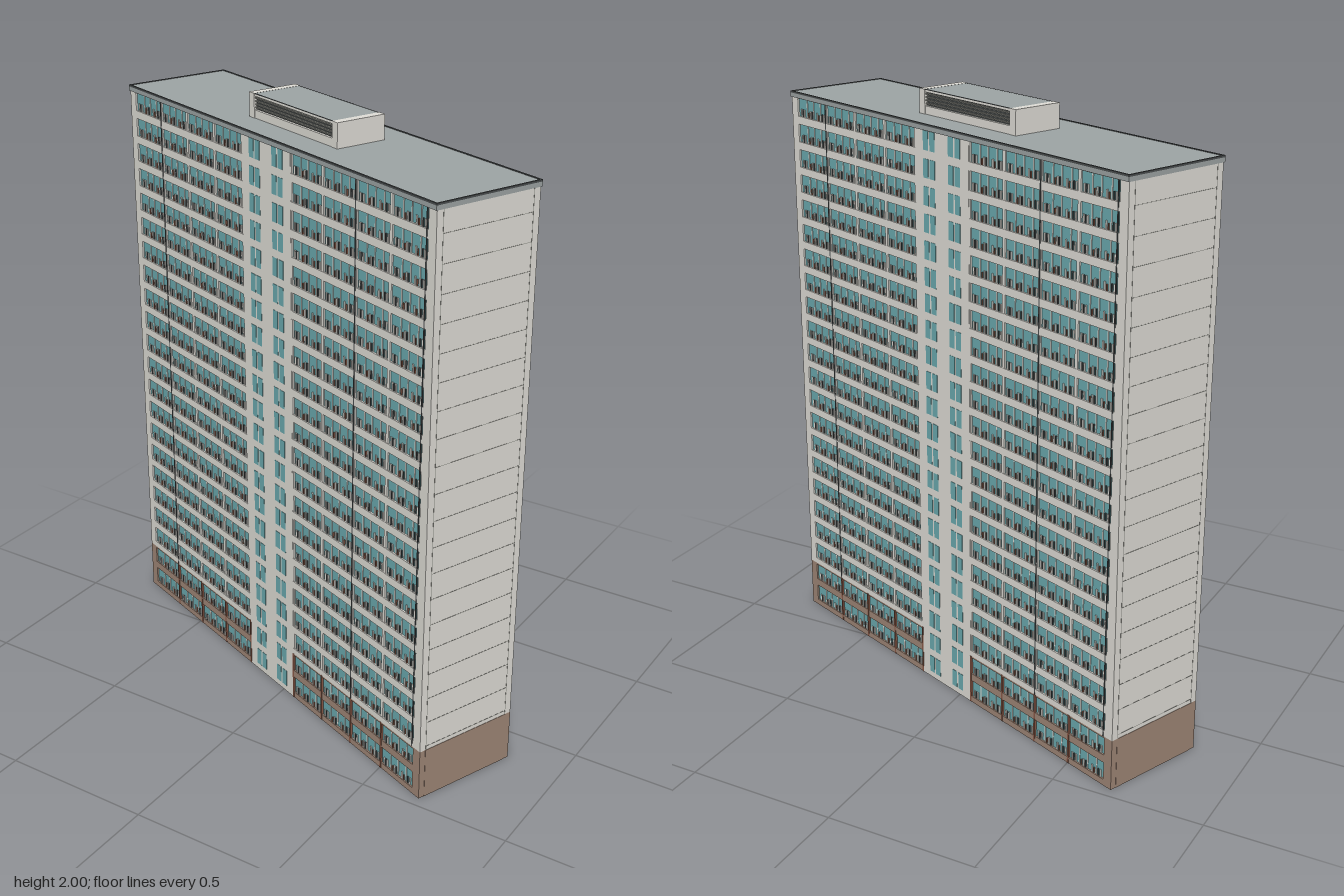
import * as THREE from 'three';
import { mergeGeometries } from 'three/addons/utils/BufferGeometryUtils.js';

const paint = (name, color) => {
  const m = new THREE.MeshStandardMaterial({ color });
  m.name = name;
  return m;
};

export function createModel() {
  const cream = paint('cream concrete', 0xe1dfd8);
  const brown = paint('brown cladding', 0xa08777);
  const rust = paint('rust posts', 0x8a5a48);
  const teal = paint('teal glass', 0x6cabb0);
  const dark = paint('dark metal', 0x4c5051);
  const grey = paint('roof grey', 0x9ea5a5);
  const seam = paint('seam grey', 0x8c8d86);

  const HL = 0.806, HD = 0.184;        // half length and half depth
  const FLOORS = 22, TOP = 1.908, H = TOP / FLOORS;
  const SILL = 0.021, HEAD = 0.081;    // window opening within a floor
  const BASE = 2 * H;                  // top of the brown plinth
  const BACK = 0.178;                  // plane of the recessed glazing
  const WING = [0.13, 0.772], BAYS = 4, BAY = (WING[1] - WING[0]) / BAYS;

  const tower = new THREE.Group();
  tower.name = 'towerBlock';

  // Collects boxes of one part and merges them into one mesh
  function part(name, material, parent, fill) {
    const list = [];
    fill((x0, x1, y0, y1, z0, z1) => {
      const g = new THREE.BoxGeometry(x1 - x0, y1 - y0, z1 - z0);
      g.translate((x0 + x1) / 2, (y0 + y1) / 2, (z0 + z1) / 2);
      list.push(g);
    });
    const mesh = new THREE.Mesh(mergeGeometries(list), material);
    mesh.name = name;
    parent.add(mesh);
  }

  const eachWing = fn => [-1, 1].forEach(s => fn(s < 0 ? -WING[1] : WING[0], s));

  // Upright strips at fractions of every bay, from the sill up to a height
  const bayStrips = (box, fractions, half, top, z0, z1) => eachWing(x => {
    for (let f = 0; f < FLOORS; f++)
      for (let b = 0; b < BAYS; b++)
        for (const u of fractions) {
          const c = x + (b + u) * BAY;
          box(c - half, c + half, f * H + SILL, f * H + top, z0, z1);
        }
  });

  part('mainBody', cream, tower, box => box(-HL + 0.001, HL - 0.001, 0, TOP, -0.163, 0.163));

  // One long facade; the other is the same turned half round
  function facade() {
    const g = new THREE.Group();
    g.name = 'facade';
    part('wingGlazing', teal, g, box => eachWing(x =>
      box(x, x + WING[1] - WING[0], 0.005, TOP, 0.162, BACK)));
    part('coreWall', cream, g, box => box(-WING[0], WING[0], 0, TOP, 0.16, HD));
    const corners = (box, y0, y1) => eachWing((x, s) => {
      const c = s * (WING[1] + HL) / 2, w = (HL - WING[1]) / 2;
      box(c - w, c + w, y0, y1, 0.16, HD);
    });
    part('cornerPiers', cream, g, box => corners(box, BASE, TOP));
    part('cornerPlinths', brown, g, box => corners(box, 0, BASE));

    // Bands between the floors
    const band = (box, y0, y1) => eachWing(x => box(x, x + WING[1] - WING[0], y0, y1, 0.16, HD));
    part('floorBands', cream, g, box => {
      band(box, BASE, BASE + SILL);
      for (let f = 3; f < FLOORS; f++) band(box, (f - 1) * H + HEAD, f * H + SILL);
      band(box, TOP - H + HEAD, TOP);
    });
    part('plinthBands', brown, g, box => {
      band(box, 0, SILL);
      band(box, HEAD, H + SILL);
      band(box, H + HEAD, BASE);
    });

    // Piers between bays
    const piers = (box, y0, y1, w, z) => eachWing(x => {
      for (let b = 0; b <= BAYS; b++) {
        const c = x + b * BAY;
        if (Math.abs(c) < WING[1] - 0.01) box(c - w, c + w, y0, y1, 0.16, z);
      }
    });
    part('bayPiers', cream, g, box => piers(box, BASE, TOP, 0.006, HD - 0.001));
    part('plinthPosts', rust, g, box => piers(box, 0, BASE, 0.0035, HD + 0.001));
    part('drainPipes', dark, g, box => [-0.612, 0.451, 0.766].forEach(x =>
      box(x - 0.002, x + 0.002, BASE, TOP, HD - 0.002, HD + 0.001)));

    // Window frames and balcony parts within every bay
    part('mullions', cream, g, box =>
      bayStrips(box, [0.3, 0.53, 0.78], 0.002, HEAD, BACK - 0.002, BACK + 0.002));
    part('balconyPanels', cream, g, box =>
      bayStrips(box, [0.1, 0.2, 0.42, 0.66, 0.9], 0.003, 0.046, BACK - 0.002, BACK + 0.003));
    part('railingPosts', dark, g, box =>
      bayStrips(box, [0.15, 0.48, 0.84], 0.0015, 0.046, BACK - 0.002, BACK + 0.004));
    part('balconyBrackets', rust, g, box =>
      bayStrips(box, [0.36, 0.72], 0.0015, 0.04, BACK - 0.002, BACK + 0.004));

    // Paired stairwell windows in the core
    part('coreWindows', teal, g, box => {
      for (let f = 0; f < FLOORS; f++)
        for (const c of [-0.077, -0.045, 0.045, 0.077])
          box(c - 0.0125, c + 0.0125, f * H + SILL, f * H + HEAD, HD - 0.002, HD + 0.001);
    });
    return g;
  }

  // One blank gable wall with its panel joints
  function gable() {
    const g = new THREE.Group();
    g.name = 'gable';
    part('gablePanel', cream, g, box => box(HL - 0.01, HL, BASE, TOP, -0.163, 0.163));
    part('gablePlinth', brown, g, box => box(HL - 0.01, HL + 0.001, 0, BASE, -0.163, 0.163));
    part('gableJoints', seam, g, box => {
      for (let f = 2; f < FLOORS; f++) {
        const y = f * H + 0.014;
        box(HL - 0.002, HL + 0.0006, y - 0.0007, y + 0.0007, -0.16, 0.16);
      }
      for (const z of [-0.161, 0.161])
        box(HL - 0.002, HL + 0.0006, BASE, TOP, z - 0.0007, z + 0.0007);
    });
    return g;
  }

  for (const turn of [0, Math.PI]) {
    for (const side of [facade(), gable()]) {
      side.rotation.y = turn;
      tower.add(side);
    }
  }

  // Flat roof with a thin dark edge
  part('roofSlab', grey, tower, box => box(-0.808, 0.808, TOP - 0.004, 1.918, -0.188, 0.188));
  part('roofDeck', grey, tower, box => box(-0.802, 0.802, 1.91, 1.922, -0.182, 0.182));
  part('roofEdge', dark, tower, box => {
    for (const s of [-1, 1]) {
      box(-0.808, 0.808, 1.918, 1.924, s * 0.185 - 0.003, s * 0.185 + 0.003);
      box(s * 0.805 - 0.003, s * 0.805 + 0.003, 1.918, 1.924, -0.182, 0.182);
    }
  });

  // Plant room with louvred long sides
  const plant = new THREE.Group();
  plant.name = 'plantRoom';
  tower.add(plant);
  part('plantEnds', cream, plant, box => {
    for (const s of [-1, 1]) box(s * 0.217 - 0.0135, s * 0.217 + 0.0135, 1.92, 2, -0.087, 0.087);
  });
  part('plantWalls', cream, plant, box => {
    box(-0.204, 0.204, 1.92, 1.948, -0.085, 0.085);
    box(-0.204, 0.204, 1.991, 1.998, -0.085, 0.085);
  });
  part('plantRoof', grey, plant, box => box(-0.204, 0.204, 1.99, 1.9995, -0.082, 0.082));
  part('plantRecess', dark, plant, box => box(-0.204, 0.204, 1.94, 1.992, -0.076, 0.076));
  part('louvres', seam, plant, box => {
    for (const s of [-1, 1])
      for (let i = 0; i < 4; i++)
        box(-0.204, 0.204, 1.953 + i * 0.01, 1.957 + i * 0.01, s * 0.079 - 0.004, s * 0.079 + 0.004);
  });
  part('plantRoofEdge', dark, plant, box => {
    for (const s of [-1, 1]) box(-0.204, 0.204, 1.996, 2, s * 0.0835 - 0.0015, s * 0.0835 + 0.0015);
  });

  tower.rotation.y = -0.3757;
  const model = new THREE.Group();
  model.name = 'apartmentTower';
  model.add(tower);
  return model;
}
